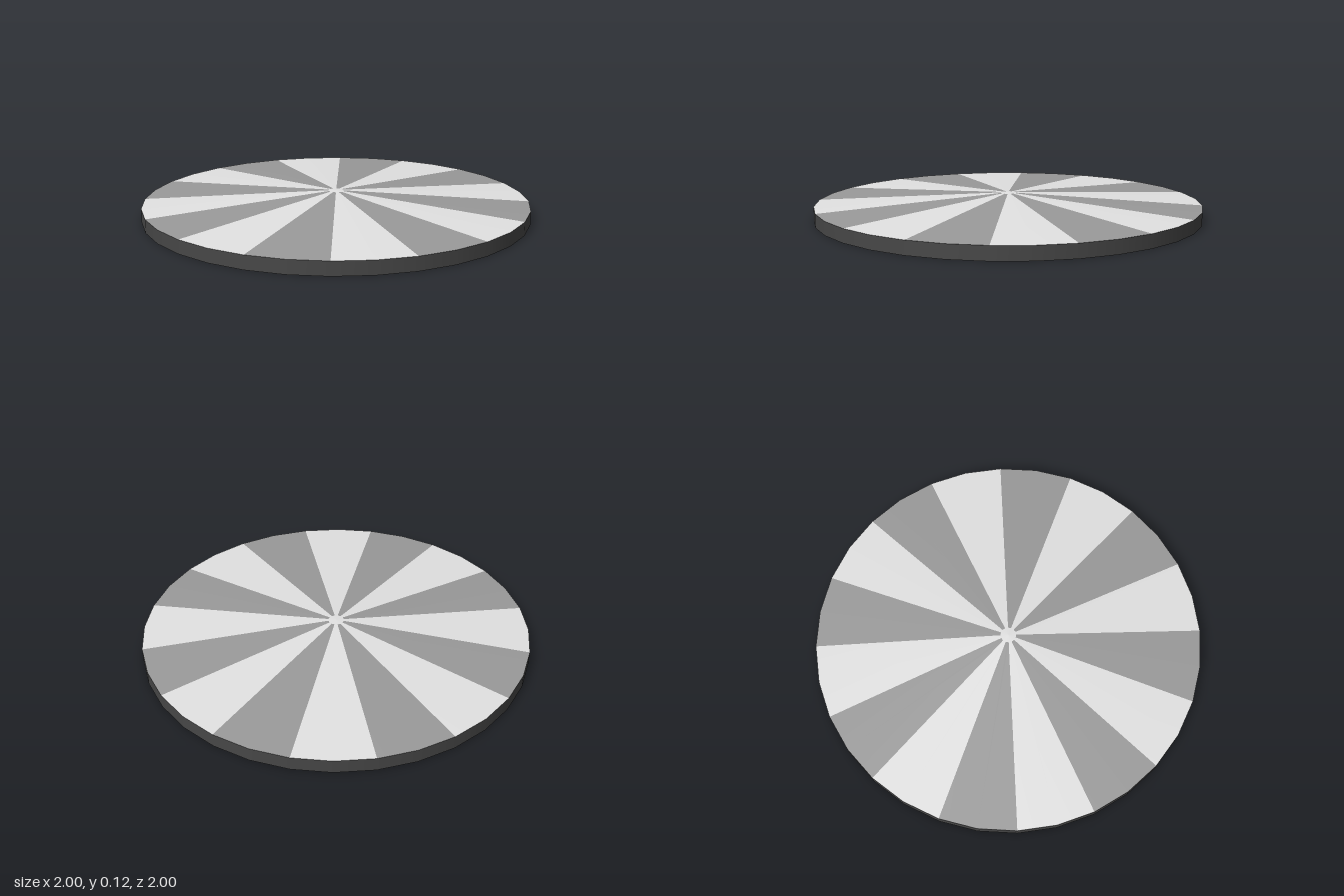
import * as THREE from 'three';

const SIDES = 32, RIM = 0.07, APEX = 0.125, HUB = 0.04;

export function createModel() {
  const light = new THREE.MeshStandardMaterial({ color: 0xe2e2e2 });
  light.name = 'light grey';
  const mid = new THREE.MeshStandardMaterial({ color: 0x9a9a9a });
  mid.name = 'mid grey';
  const dark = new THREE.MeshStandardMaterial({ color: 0x474747 });
  dark.name = 'dark grey';
  const pale = new THREE.MeshStandardMaterial({ color: 0xd8d8d8 });
  pale.name = 'underside grey';

  const model = new THREE.Group();
  model.name = 'stripedDisc';
  const add = (name, geometry, material, y, parent = model) => {
    const mesh = new THREE.Mesh(geometry, material);
    mesh.name = name;
    mesh.position.y = y;
    parent.add(mesh);
  };

  // Outer band and flat underside
  add('rim', new THREE.CylinderGeometry(1, 1, RIM, SIDES, 1, true), dark, RIM / 2);
  add('underside', new THREE.CircleGeometry(1, SIDES).rotateX(Math.PI / 2), pale, 0);

  // Shallow cone of sixteen alternating wedges, each two facets wide
  const hubHeight = (APEX - RIM) * HUB;
  const coneHeight = APEX - RIM - hubHeight;
  const wedges = new THREE.Group();
  wedges.name = 'topWedges';
  model.add(wedges);
  const step = Math.PI / 8;
  for (let i = 0; i < 16; i++) {
    const wedge = new THREE.CylinderGeometry(HUB, 1, coneHeight, 2, 1, true, (i - 0.5) * step, step);
    add(i % 2 ? 'lightWedge' : 'darkWedge', wedge, i % 2 ? light : mid, RIM + coneHeight / 2, wedges);
  }

  // Small light tip where the wedges meet
  add('centreTip', new THREE.ConeGeometry(HUB, hubHeight, SIDES, 1, true), light, APEX - hubHeight / 2);

  return model;
}
